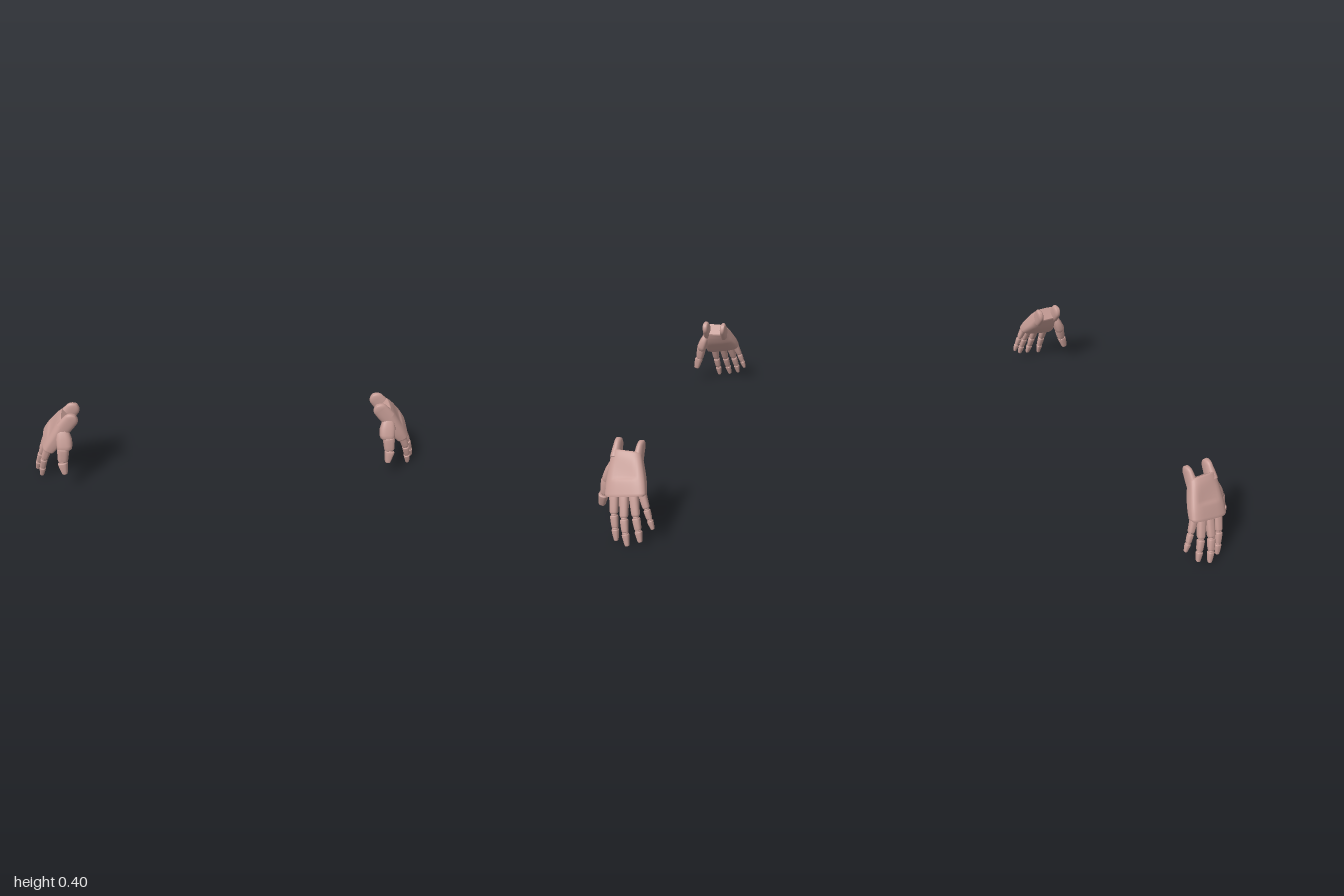
import * as THREE from 'three';

const V = (x, y, z) => new THREE.Vector3(x, y, z);
const AROUND = 32;

// Skin through superellipse sections {c, a, b}: centre and two half-axis vectors.
function loft(sections, power = 2.6, bulge = () => 1) {
  const first = sections[0], last = sections[sections.length - 1];
  const along = last.c.clone().sub(first.c);
  const flip = first.a.clone().cross(first.b).dot(along) < 0;
  const pos = [], index = [];
  const tri = (p, q, r) => (flip ? index.push(p, r, q) : index.push(p, q, r));
  const round = (v) => Math.sign(v) * Math.abs(v) ** (2 / power);
  const ring = (s, t) => {
    const start = pos.length / 3;
    for (let j = 0; j < AROUND; j++) {
      const ang = (j / AROUND) * Math.PI * 2;
      const u = round(Math.cos(ang)), w = round(Math.sin(ang));
      const p = s.c.clone().addScaledVector(s.a, u).addScaledVector(s.b, w * bulge(t, u, w));
      pos.push(p.x, p.y, p.z);
    }
    return start;
  };
  const starts = sections.map((s, i) => ring(s, i / (sections.length - 1)));
  for (let i = 0; i < starts.length - 1; i++) {
    for (let j = 0; j < AROUND; j++) {
      const k = (j + 1) % AROUND, p = starts[i], q = starts[i + 1];
      tri(p + j, p + k, q + j);
      tri(p + k, q + k, q + j);
    }
  }
  // end caps with their own vertices, so the rim stays crisp
  [[first, 0], [last, 1]].forEach(([s, t]) => {
    const start = ring(s, t), mid = pos.length / 3;
    pos.push(s.c.x, s.c.y, s.c.z);
    for (let j = 0; j < AROUND; j++) {
      const k = (j + 1) % AROUND;
      if (t) tri(start + j, start + k, mid);
      else tri(start + k, start + j, mid);
    }
  });
  const g = new THREE.BufferGeometry();
  g.setAttribute('position', new THREE.Float32BufferAttribute(pos, 3));
  g.setIndex(index);
  g.computeVertexNormals();
  return g;
}

// Tapered finger piece with softened ends; r = [depth, width] half sizes.
function segment(p, q, r0, r1) {
  const d = q.clone().sub(p).normalize();
  const b = V(0, 0, 1).addScaledVector(d, -d.z).normalize();
  const a = b.clone().cross(d);
  const steps = [[0, 0.78], [0.03, 0.92], [0.08, 1], [0.35, 1.03], [0.65, 1.02], [0.9, 1], [0.97, 0.9], [1, 0.72]];
  return loft(steps.map(([t, k]) => ({
    c: p.clone().lerp(q, t),
    a: a.clone().multiplyScalar(k * THREE.MathUtils.lerp(r0[0], r1[0], t)),
    b: b.clone().multiplyScalar(k * THREE.MathUtils.lerp(r0[1], r1[1], t)),
  })));
}

function createHand(side, skin) {
  const hand = new THREE.Group();
  hand.name = side > 0 ? 'leftHand' : 'rightHand';
  const P = (x, y, z) => V(x * side, y, z);
  const add = (name, geo, parent = hand) => {
    const m = new THREE.Mesh(geo, skin);
    m.name = name;
    parent.add(m);
    return m;
  };

  // palm: swept between its thumb edge and its little-finger edge
  const thumbEdge = new THREE.CatmullRomCurve3([P(0.8, 0.35, 0.078), P(0.815, 0.315, 0.083),
    P(0.84, 0.272, 0.086), P(0.875, 0.222, 0.086), P(0.905, 0.18, 0.082)]);
  const outerEdge = new THREE.CatmullRomCurve3([P(0.8, 0.352, -0.054), P(0.824, 0.325, -0.067),
    P(0.85, 0.292, -0.082), P(0.882, 0.255, -0.097), P(0.912, 0.218, -0.107)]);
  const thick = new THREE.CatmullRomCurve3([0.036, 0.041, 0.043, 0.04, 0.034].map((h, i) => V(h, i * 0.01, 0)));
  const palm = [];
  for (let i = 0; i <= 32; i++) {
    const t = i / 32, e = thumbEdge.getPoint(t), f = outerEdge.getPoint(t);
    const n = P(0.74, 0.67, 0).lerp(P(0.92, 0.38, 0), t * t).normalize();
    const k = i === 0 || i === 32 ? 0.93 : 1;
    palm.push({
      c: e.clone().add(f).multiplyScalar(0.5),
      a: e.clone().sub(f).multiplyScalar(0.5 * k),
      b: n.multiplyScalar(thick.getPoint(t).x * k),
    });
  }
  // shallow hollow on the back of the hand, ending in a ledge
  const hollow = (t, u, w) => {
    if (w < 0.5 || Math.abs(u) > 0.62) return 1;
    const ramp = THREE.MathUtils.smoothstep(t, 0.15, 0.6) * (1 - THREE.MathUtils.smoothstep(t, 0.62, 0.7));
    return 1 - 0.13 * ramp * (1 - (u / 0.62) ** 4);
  };
  add('palm', loft(palm, 3.4, hollow));

  // two rounded lugs holding the wrist
  const axis = P(-0.66, 0.75, 0), normal = P(0.75, 0.66, 0);
  [[0.062, 0.064, 0.018], [-0.038, -0.041, 0.017]].forEach(([z0, z1, w], i) => {
    const lug = [[-0.06, 1.05, 1.3], [-0.025, 1.05, 1.15], [0, 1, 1]];
    for (let j = 1; j <= 7; j++) {
      const ang = (j / 7) * 1.5;
      lug.push([Math.sin(ang) * 0.037, Math.cos(ang), 0.45 + 0.55 * Math.cos(ang)]);
    }
    add(i ? 'rearWristLug' : 'frontWristLug', loft(lug.map(([s, h, k], j) => ({
      c: P(0.775, 0.365, THREE.MathUtils.lerp(z0, z1, j / 9)).addScaledVector(axis, s),
      a: normal.clone().multiplyScalar(0.037 * h),
      b: V(0, 0, w * k),
    })), 2.3));
  });

  // fingers: knuckle, two joints, tip
  const fingers = {
    indexFinger: [[0.9, 0.205, 0.042], [0.935, 0.116, 0.034], [0.95, 0.057, 0.025], [0.961, 0.003, 0.018]],
    middleFinger: [[0.91, 0.215, -0.006], [0.955, 0.116, -0.018], [0.975, 0.057, -0.029], [0.989, 0.003, -0.041]],
    ringFinger: [[0.91, 0.225, -0.048], [0.95, 0.128, -0.07], [0.965, 0.073, -0.084], [0.975, 0.023, -0.095]],
    littleFinger: [[0.905, 0.235, -0.082], [0.925, 0.16, -0.11], [0.933, 0.115, -0.126], [0.938, 0.073, -0.141]],
  };
  for (const [name, list] of Object.entries(fingers)) {
    const finger = new THREE.Group();
    finger.name = name;
    hand.add(finger);
    const pts = list.map((p) => P(...p)), k = name === 'littleFinger' ? 0.85 : 1;
    const sizes = [[0.021, 0.0175], [0.0175, 0.0145], [0.0165, 0.0095]];
    for (let i = 0; i < 3; i++) {
      const d = pts[i + 1].clone().sub(pts[i]).normalize();
      const from = pts[i].clone().addScaledVector(d, i ? 0.003 : 0);
      const to = pts[i + 1].clone().addScaledVector(d, i < 2 ? -0.003 : 0);
      const [r0, r1] = sizes[i].map((r) => [r * k, r * k]);
      add('fingerSegment', segment(from, to, r0, r1), finger);
      if (i) add('fingerJoint', new THREE.SphereGeometry(0.0135 * k, 20, 14), finger).position.copy(pts[i]);
    }
  }

  // thumb: fleshy base, two segments, one joint
  const thumb = new THREE.Group();
  thumb.name = 'thumb';
  hand.add(thumb);
  const base = [[0.82, 0.312, 0.066, 0.018, 0.012], [0.817, 0.298, 0.072, 0.031, 0.018],
    [0.815, 0.268, 0.083, 0.039, 0.023], [0.814, 0.235, 0.094, 0.039, 0.025],
    [0.816, 0.218, 0.099, 0.036, 0.024], [0.818, 0.21, 0.101, 0.028, 0.018]];
  add('thumbBase', loft(base.map(([x, y, z, a, b]) => ({ c: P(x, y, z), a: V(a, 0, 0), b: V(0, 0.35 * b, b) }))), thumb);
  add('thumbSegment', segment(P(0.822, 0.222, 0.1), P(0.83, 0.15, 0.112), [0.03, 0.026], [0.025, 0.02]), thumb);
  add('thumbJoint', new THREE.SphereGeometry(0.018, 20, 14), thumb).position.copy(P(0.83, 0.148, 0.114));
  add('thumbTip', segment(P(0.831, 0.148, 0.117), P(0.823, 0.086, 0.131), [0.026, 0.023], [0.013, 0.015]), thumb);
  return hand;
}

export function createModel() {
  const skin = new THREE.MeshStandardMaterial({ color: 0xc49b94 });
  skin.name = 'dustyPink';
  const model = new THREE.Group();
  model.name = 'handPair';
  model.add(createHand(1, skin), createHand(-1, skin));
  return model;
}
